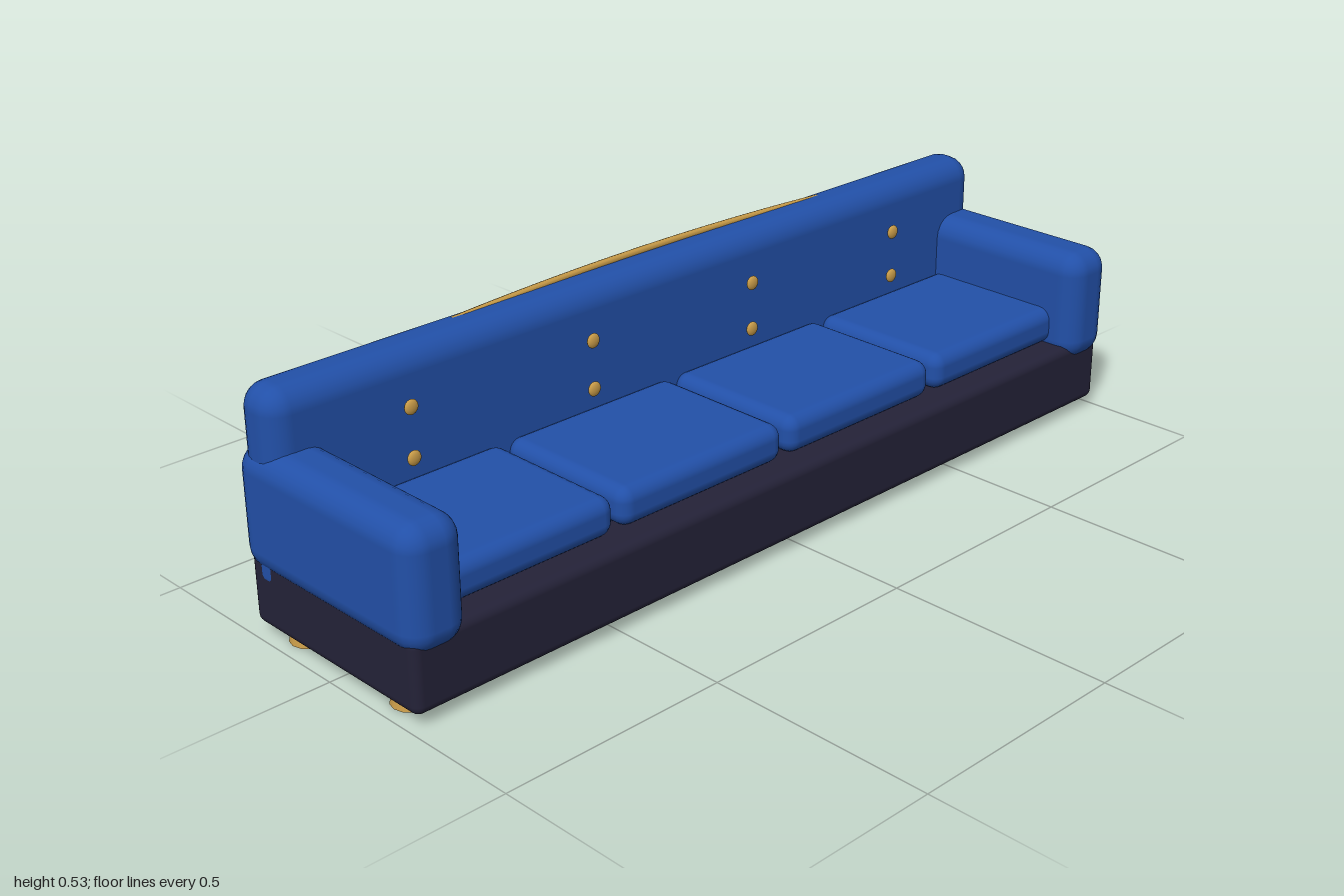
import * as THREE from 'three';
import { RoundedBoxGeometry } from 'three/addons/geometries/RoundedBoxGeometry.js';

const material = (name, color) => {
  const m = new THREE.MeshStandardMaterial({ color });
  m.name = name;
  return m;
};

export function createModel() {
  const sofa = new THREE.Group();
  sofa.name = 'sofa';
  const blue = material('blue velvet', 0x2250a8);
  const dark = material('dark plinth', 0x242238);
  const gold = material('gold', 0xc89b48);

  const add = (name, geometry, mat, x = 0, y = 0, z = 0) => {
    const mesh = new THREE.Mesh(geometry, mat);
    mesh.name = name;
    mesh.position.set(x, y, z);
    sofa.add(mesh);
    return mesh;
  };
  // Rounded box given by its lower and upper limits in y and z
  const padded = (name, mat, x, width, [y0, y1], [z0, z1], radius) =>
    add(name, new RoundedBoxGeometry(width, y1 - y0, z1 - z0, 3, radius), mat,
      x, (y0 + y1) / 2, (z0 + z1) / 2);

  // Plinth and backrest
  padded('base', dark, 0, 1.98, [0.024, 0.18], [-0.247, 0.248], 0.02);
  padded('backrest', blue, 0, 1.982, [0.088, 0.522], [-0.253, -0.137], 0.05);

  // Armrests and tapered feet
  const foot = new THREE.CylinderGeometry(0.034, 0.04, 0.03, 12);
  for (const side of [-1, 1]) {
    const label = side > 0 ? 'left' : 'right';
    padded(label + 'Armrest', blue, side * 0.933, 0.134, [0.14, 0.398], [-0.264, 0.264], 0.05);
    add(label + 'FrontFoot', foot, gold, side * 0.933, 0.015, 0.156);
    add(label + 'BackFoot', foot, gold, side * 0.933, 0.015, -0.155);
  }

  // Seat cushions with a pair of buttons above each
  const button = new THREE.SphereGeometry(0.016, 14, 10);
  button.scale(1, 1, 0.45);
  for (let i = 0; i < 4; i++) {
    const x = (i - 1.5) * 0.459;
    padded('seatCushion', blue, x, 0.444, [0.178, 0.262], [-0.15, 0.2], 0.03);
    for (const y of [0.306, 0.412]) add('button', button, gold, x, y, -0.1245);
  }
  // Curved trim rail along the top of the backrest
  const rail = new THREE.QuadraticBezierCurve3(
    new THREE.Vector3(-0.52, 0.515, -0.207),
    new THREE.Vector3(0, 0.534, -0.23),
    new THREE.Vector3(0.52, 0.515, -0.207));
  add('topTrim', new THREE.TubeGeometry(rail, 24, 0.008, 8), gold);

  return sofa;
}
